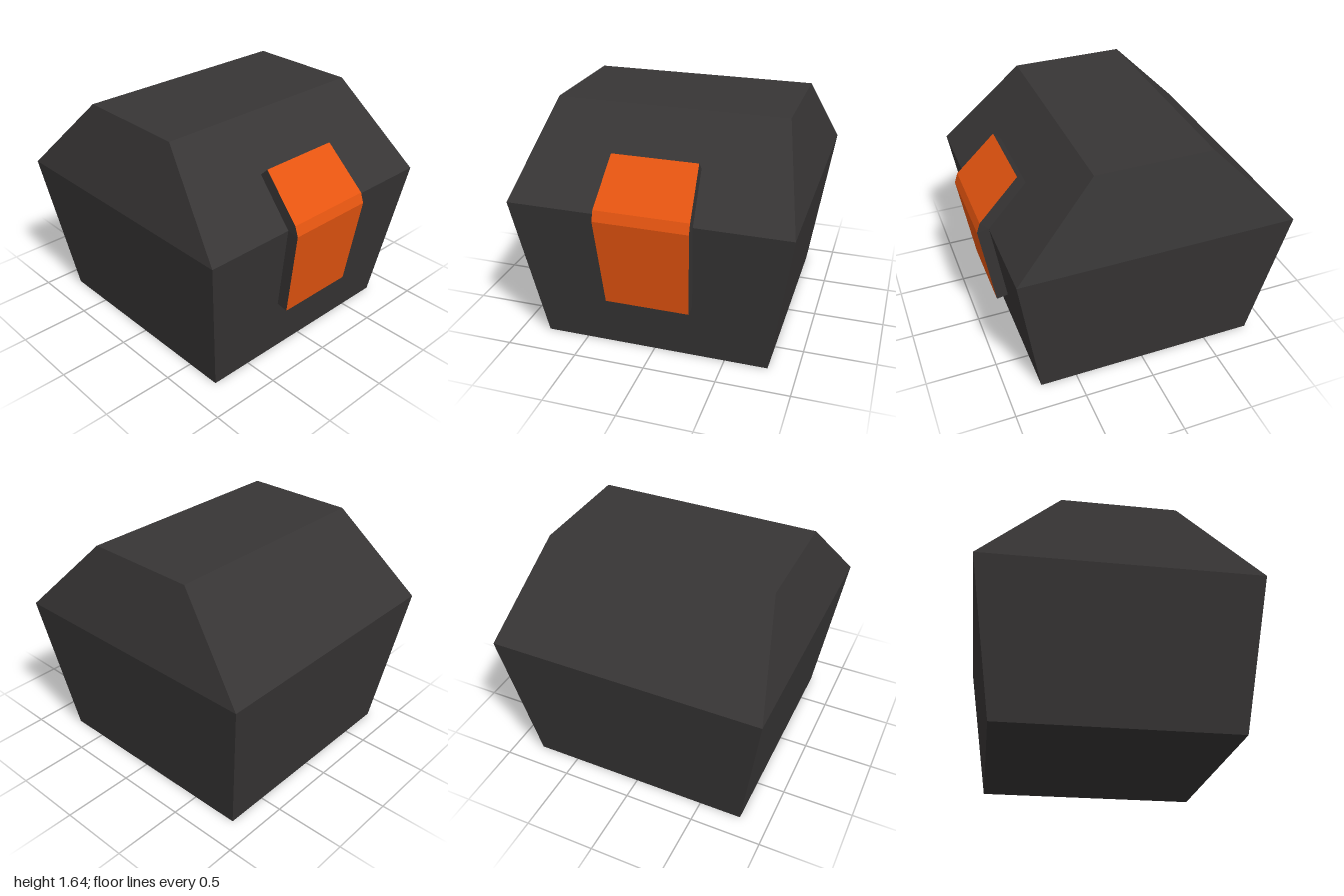
import * as THREE from 'three';

// Flat-shaded mesh from four-cornered faces, corners counter-clockwise from outside
function quadMesh(name, quads, color) {
  const points = quads.flatMap(([a, b, c, d]) => [a, b, c, a, c, d]);
  const geometry = new THREE.BufferGeometry();
  geometry.setAttribute('position', new THREE.Float32BufferAttribute(points.flat(), 3));
  geometry.computeVertexNormals();
  const mesh = new THREE.Mesh(geometry, new THREE.MeshStandardMaterial({ color, flatShading: true }));
  mesh.name = name;
  return mesh;
}

const DARK = 0x373535;
const ORANGE = 0xe65510;

// Faceted block: flared lower half, tapered roof
function createBody() {
  const cx = -0.042;
  const ring = (y, hx, hz) => [[-1, 1], [1, 1], [1, -1], [-1, -1]].map(([sx, sz]) => [cx + sx * hx, y, sz * hz]);
  const rings = [ring(0, 0.8, 0.8), ring(1.062, 0.958, 0.958), ring(1.636, 0.4, 0.8)];
  const quads = [[...rings[0]].reverse(), rings[2]];
  for (let r = 0; r < 2; r++) {
    for (let i = 0; i < 4; i++) {
      const j = (i + 1) % 4;
      quads.push([rings[r][i], rings[r][j], rings[r + 1][j], rings[r + 1][i]]);
    }
  }
  return quadMesh('body', quads, DARK);
}

// Raised clasp bent over the shoulder on the left side
function createClasp() {
  // Stations from top to bottom: inner x, inner y, outer x, outer y, half width
  const stations = [
    [0.638, 1.342, 0.695, 1.4, 0.295],
    [0.916, 1.062, 0.973, 1.12, 0.32],
    [0.916, 1.062, 0.997, 1.05, 0.32],
    [0.822, 0.432, 0.903, 0.418, 0.29],
  ].map(([ix, iy, ox, oy, w]) => ({
    inF: [ix, iy, w], inB: [ix, iy, -w], outF: [ox, oy, w], outB: [ox, oy, -w],
  }));
  const face = [];
  const edges = [];
  for (let i = 0; i < stations.length - 1; i++) {
    const a = stations[i], b = stations[i + 1];
    face.push([a.outF, b.outF, b.outB, a.outB]);
    edges.push([a.inF, b.inF, b.outF, a.outF], [a.outB, b.outB, b.inB, a.inB]);
  }
  const top = stations[0], bottom = stations[stations.length - 1];
  edges.push([top.inF, top.outF, top.outB, top.inB], [bottom.inB, bottom.outB, bottom.outF, bottom.inF]);

  const clasp = new THREE.Group();
  clasp.name = 'clasp';
  clasp.add(quadMesh('claspFace', face, ORANGE), quadMesh('claspEdges', edges, DARK));
  return clasp;
}

export function createModel() {
  const model = new THREE.Group();
  model.name = 'box';
  model.add(createBody(), createClasp());
  return model;
}
